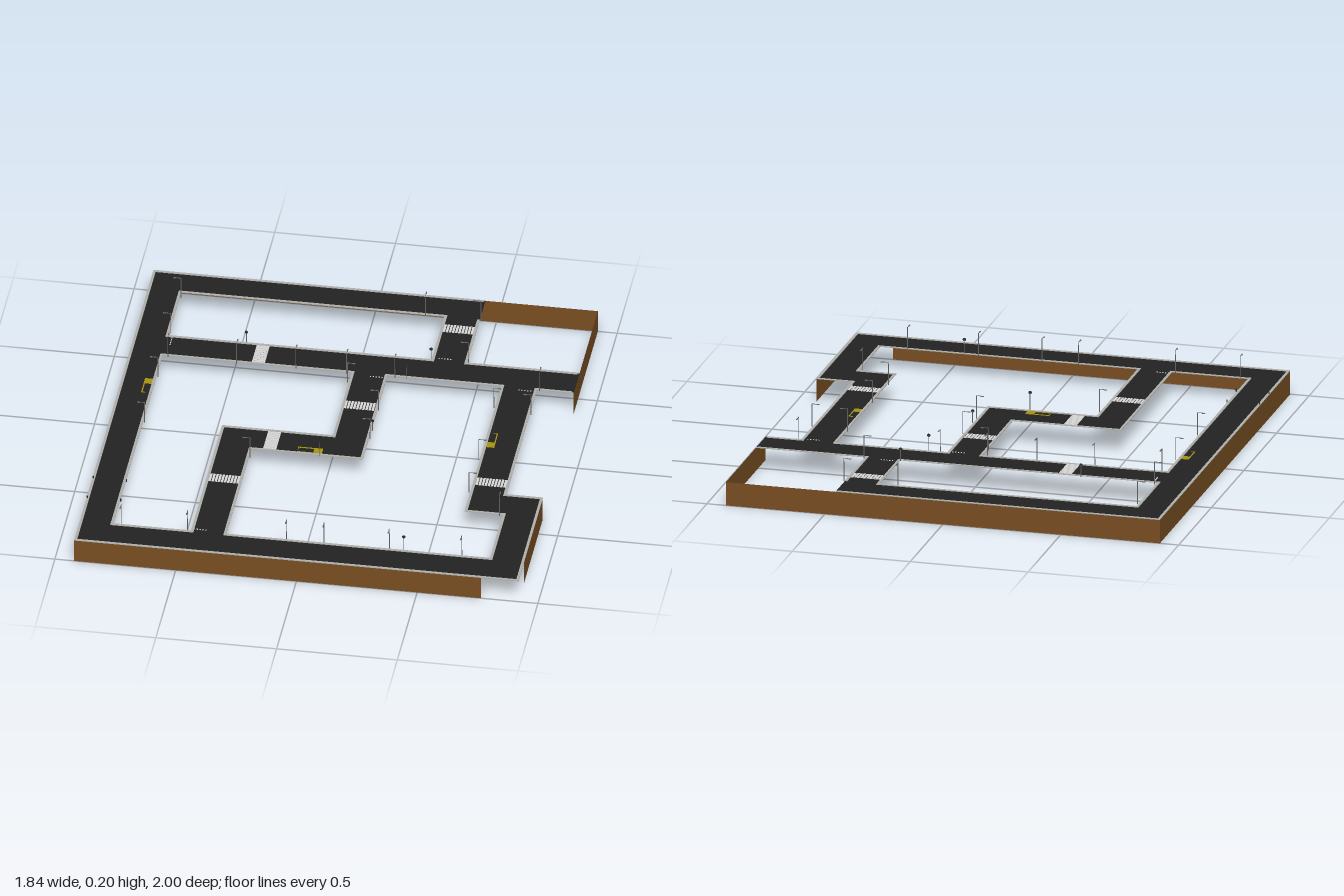
import * as THREE from 'three';

const TOP = 0.1; // road level

// Road outline and the blocks cut out of it, as [x, z] corners
const OUTER = [[-0.92, -1], [0.455, -1], [0.455, -0.857], [0.455, -0.54], [0.92, -0.54], [0.92, -0.39],
  [0.768, -0.39], [0.768, 0.383], [0.92, 0.383], [0.92, 1], [-0.92, 1]];
const BLOCKS = [
  [[-0.782, -0.857], [0.308, -0.857], [0.308, -0.54], [-0.782, -0.54]],
  [[-0.782, -0.392], [0, -0.392], [0, 0.073], [-0.46, 0.073], [-0.46, 0.853], [-0.782, 0.853]],
  [[0.148, -0.392], [0.62, -0.392], [0.62, 0.533], [0.778, 0.533], [0.778, 0.853], [-0.314, 0.853],
    [-0.314, 0.225], [0.148, 0.225]],
];
const OPEN_ENDS = [1, 4]; // outline edges where a road ends without a curb

export function createModel() {
  const model = new THREE.Group();
  const mat = (name, color, side = THREE.FrontSide) => {
    const m = new THREE.MeshStandardMaterial({ color, side });
    m.name = name;
    return m;
  };
  const asphalt = mat('asphalt', 0x222222, THREE.DoubleSide);
  const earth = mat('earth brown', 0x784e22, THREE.DoubleSide);
  const stone = mat('curb grey', 0xb0b0ac);
  const white = mat('marking white', 0xd8d8d8);
  const yellow = mat('marking yellow', 0xa89410);
  const metal = mat('pole grey', 0x6e6e6e);
  const dark = mat('sign dark', 0x2c2c2c);

  const group = (name, parent = model) => {
    const g = new THREE.Group();
    g.name = name;
    parent.add(g);
    return g;
  };
  const add = (parent, name, geo, material, x = 0, y = 0, z = 0) => {
    const m = new THREE.Mesh(geo, material);
    m.name = name;
    m.position.set(x, y, z);
    parent.add(m);
    return m;
  };
  const points = (list) => list.map(([x, z]) => new THREE.Vector2(x, -z));

  // Road surface
  const roadShape = new THREE.Shape(points(OUTER));
  BLOCKS.forEach((b) => roadShape.holes.push(new THREE.Path(points(b))));
  add(model, 'roadSurface', new THREE.ShapeGeometry(roadShape).rotateX(-Math.PI / 2), asphalt, 0, TOP, 0);

  // Curbs: mitred strips lying on the road along every edge
  const curbs = group('curbs');
  const W = 0.011;
  const addCurbs = (loop, side, skip = []) => {
    const n = loop.length;
    const normal = (i) => {
      const [a, b] = [loop[(i + n) % n], loop[(i + 1) % n]];
      const [dx, dz] = [Math.sign(b[0] - a[0]), Math.sign(b[1] - a[1])];
      return [-dz * side, dx * side];
    };
    const inset = (i) => {
      const [p, a, b] = [loop[i % n], normal((i % n) - 1), normal(i % n)];
      const straight = a[0] === b[0] && a[1] === b[1];
      return [0, 1].map((k) => p[k] + W * (straight ? a[k] : a[k] + b[k]));
    };
    loop.forEach((p, i) => {
      if (skip.includes(i)) return;
      const quad = new THREE.Shape(points([p, loop[(i + 1) % n], inset(i + 1), inset(i)]));
      const geo = new THREE.ExtrudeGeometry(quad, { depth: 0.003, bevelEnabled: false });
      add(curbs, 'curb', geo.rotateX(-Math.PI / 2), stone, 0, TOP, 0);
    });
  };
  addCurbs(OUTER, 1, OPEN_ENDS);
  BLOCKS.forEach((b) => addCurbs(b, -1));

  // Thin walls around the base: from [x, z] to [x, z]
  const walls = group('baseWalls');
  [[-0.92, 1, 0.765, 1], [0.92, 0.86, 0.92, 0.39], [0.92, -0.39, 0.92, -1],
    [0.92, -1, -0.92, -1], [-0.92, -1, -0.92, 1]].forEach(([x1, z1, x2, z2]) => {
    const geo = new THREE.PlaneGeometry(Math.hypot(x2 - x1, z2 - z1), TOP);
    add(walls, 'baseWall', geo, earth, (x1 + x2) / 2, TOP / 2, (z1 + z2) / 2)
      .rotation.y = Math.atan2(-(z2 - z1), x2 - x1);
  });

  // Flat paint on the road
  const paint = (parent, name, material, x, z, w, d) =>
    add(parent, name, new THREE.BoxGeometry(w, 0.002, d), material, x, TOP + 0.001, z);

  // Zebra crossings: [x, z, stripes laid out along x]
  [[0.381, -0.775, true], [-0.388, -0.465, false], [0.072, -0.16, true],
    [-0.24, 0.148, false], [-0.387, 0.455, true], [0.694, 0.307, true]].forEach(([x, z, alongX]) => {
    const crossing = group('crossing');
    for (let i = -4.5; i <= 4.5; i++) {
      const s = i * 0.0128;
      if (alongX) paint(crossing, 'stripe', white, x + s, z, 0.0098, 0.054);
      else paint(crossing, 'stripe', white, x, z + s, 0.054, 0.0098);
    }
  });

  // Give-way dashes at the junctions: [x, z, along x]
  [[-0.765, -0.5, false], [0.36, -0.553, true], [0.105, -0.378, true],
    [0.72, -0.378, true], [-0.425, 0.838, true]].forEach(([x, z, alongX]) => {
    const dashes = group('giveWayDashes');
    for (let i = -2; i <= 2; i++) {
      const s = i * 0.012;
      paint(dashes, 'dash', white, x + (alongX ? s : 0), z + (alongX ? 0 : s), 0.005, 0.005);
    }
  });

  // Bus bays: yellow outline with a filled end, [x, z, turn]
  [[-0.807, -0.165, 0], [0.645, 0.003, Math.PI], [-0.075, 0.195, -Math.PI / 2]].forEach(([x, z, turn]) => {
    const bay = group('busBay');
    bay.position.set(x, 0, z);
    bay.rotation.y = turn;
    paint(bay, 'filledEnd', yellow, 0, -0.033, 0.038, 0.036);
    paint(bay, 'bayLine', yellow, -0.016, 0.018, 0.005, 0.066);
    paint(bay, 'bayLine', yellow, 0.016, 0.018, 0.003, 0.066);
    paint(bay, 'bayEnd', yellow, -0.008, 0.05, 0.016, 0.003);
  });

  // Street lamps: [x, z, arm direction x, arm direction z]
  const poleGeo = new THREE.CylinderGeometry(0.0016, 0.002, 0.098, 6);
  const armGeo = new THREE.BoxGeometry(0.032, 0.002, 0.002);
  const headGeo = new THREE.BoxGeometry(0.012, 0.003, 0.005);
  [[-0.776, -0.82, -1, 0], [-0.776, -0.56, -1, 0], [-0.776, -0.235, -1, 0], [-0.776, 0.1, -1, 0],
    [-0.76, -0.387, 0, -1], [-0.475, -0.387, 0, -1], [-0.23, -0.387, 0, -1], [-0.02, -0.387, 0, -1],
    [0.18, -0.387, 0, -1], [0.78, -0.387, 0, -1], [0.23, -0.853, 0, -1], [0.46, -0.853, -1, 0],
    [0.46, -0.545, -1, 0], [-0.005, -0.32, 1, 0], [0.153, -0.14, -1, 0], [0.153, 0.07, -1, 0],
    [-0.309, 0.285, -1, 0], [0.615, -0.235, 1, 0], [0.773, -0.21, -1, 0], [0.615, 0.145, 1, 0],
    [0.615, 0.39, 1, 0], [0.765, 0.54, 0, -1], [-0.75, 0.848, 0, 1], [-0.475, 0.848, 0, 1],
    [-0.065, 0.848, 0, 1], [0.09, 0.848, 0, 1], [0.36, 0.848, 0, 1], [0.66, 0.848, 0, 1],
  ].forEach(([x, z, dx, dz]) => {
    const lamp = group('streetLamp');
    lamp.position.set(x, TOP, z);
    lamp.rotation.y = Math.atan2(-dz, dx);
    add(lamp, 'lampPole', poleGeo, metal, 0, 0.049, 0);
    add(lamp, 'lampArm', armGeo, metal, 0.015, 0.097, 0);
    add(lamp, 'lampHead', headGeo, metal, 0.026, 0.096, 0);
  });

  // Round road signs: [x, z, height]
  const discGeo = new THREE.CylinderGeometry(0.007, 0.007, 0.002, 12).rotateX(Math.PI / 2);
  [[-0.46, -0.545, 0.05], [-0.03, 0.23, 0.075], [0.153, 0.01, 0.05], [0.23, -0.385, 0.065],
    [0.305, -0.545, 0.05], [0.42, 0.848, 0.065]].forEach(([x, z, h]) => {
    const sign = group('roadSign');
    sign.position.set(x, TOP, z);
    add(sign, 'signPole', new THREE.CylinderGeometry(0.0014, 0.0014, h, 6), metal, 0, h / 2, 0);
    add(sign, 'signDisc', discGeo, dark, 0, h, 0.002);
  });

  // Short bollards beside the left road
  for (const x of [-0.917, -0.779]) for (const z of [0.54, 0.685]) {
    add(model, 'bollard', new THREE.CylinderGeometry(0.003, 0.003, 0.012, 6), dark, x, TOP + 0.006, z);
  }
  return model;
}
